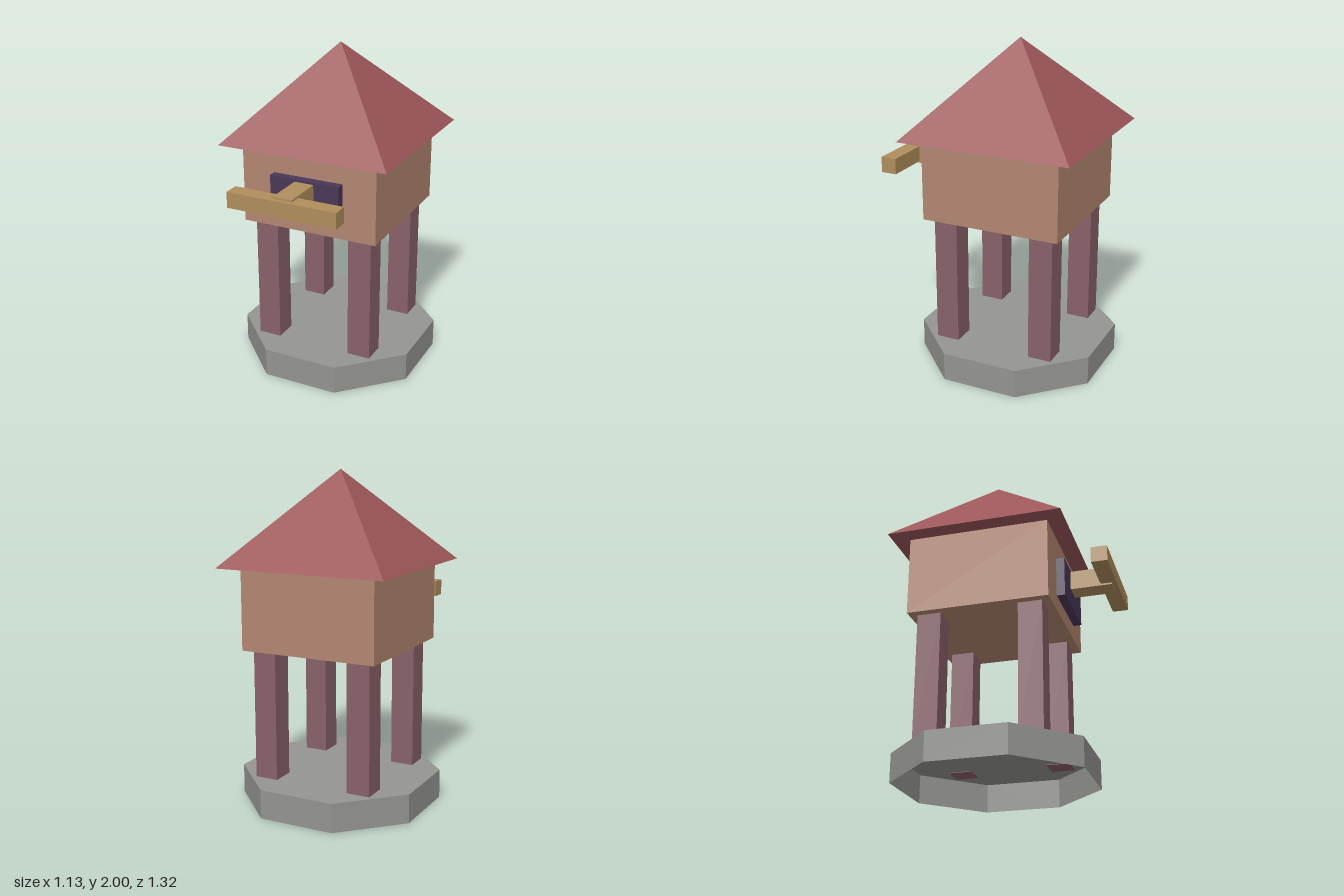
import * as THREE from 'three';

const mat = (name, color, extra = {}) => {
  const m = new THREE.MeshStandardMaterial({ color, flatShading: true, ...extra });
  m.name = name;
  return m;
};

export function createModel() {
  const stone = mat('stone', 0x949491, { side: THREE.DoubleSide });
  const roofRed = mat('roofRed', 0x9c5658);
  const wall = mat('wallClay', 0xb48771);
  const post = mat('postMauve', 0x896169);
  const dark = mat('panelPurple', 0x4a3758);
  const wood = mat('wood', 0xb08e5c);

  const model = new THREE.Group();
  const centreZ = -0.097; // axis of the tower

  const add = (name, geometry, material, x, y, z) => {
    const mesh = new THREE.Mesh(geometry, material);
    mesh.name = name;
    mesh.position.set(x, y, z);
    model.add(mesh);
    return mesh;
  };
  // box given by its min and max corners
  const box = (name, material, [x0, y0, z0], [x1, y1, z1]) =>
    add(name, new THREE.BoxGeometry(x1 - x0, y1 - y0, z1 - z0), material,
      (x0 + x1) / 2, (y0 + y1) / 2, (z0 + z1) / 2);

  // octagonal base: side walls and top slab, hollow underneath
  const baseR = 0.563 / Math.cos(Math.PI / 8);
  const baseH = 0.175;
  add('baseWall', new THREE.CylinderGeometry(baseR, baseR, baseH, 8, 1, true, Math.PI / 8),
    stone, 0, baseH / 2, centreZ);
  const top = add('baseTop', new THREE.CircleGeometry(baseR, 8, Math.PI / 8), stone, 0, baseH, centreZ);
  top.rotation.x = -Math.PI / 2;

  // four square legs
  for (const sx of [-1, 1]) {
    for (const sz of [-1, 1]) {
      const name = (sz > 0 ? 'front' : 'back') + (sx > 0 ? 'Left' : 'Right') + 'Leg';
      const x = sx * 0.306, z = centreZ + sz * 0.306;
      box(name, post, [x - 0.072, baseH - 0.003, z - 0.072], [x + 0.072, 0.96, z + 0.072]);
    }
  }

  // cabin and pyramid roof
  box('cabin', wall, [-0.427, 0.957, centreZ - 0.427], [0.427, 1.447, centreZ + 0.427]);
  const roofH = 0.553;
  const roof = add('roof', new THREE.ConeGeometry(0.531 * Math.SQRT2, roofH, 4), roofRed,
    0, 1.447 + roofH / 2, centreZ);
  roof.rotation.y = Math.PI / 4;

  // front panel with the crossbow-like bar
  box('frontPanel', dark, [-0.22, 1.052, 0.32], [0.22, 1.298, 0.38]);
  box('barStem', wood, [-0.06, 1.165, 0.37], [0.06, 1.284, 0.633]);
  box('crossBar', wood, [-0.341, 1.176, 0.563], [0.341, 1.272, 0.66]);

  return model;
}
